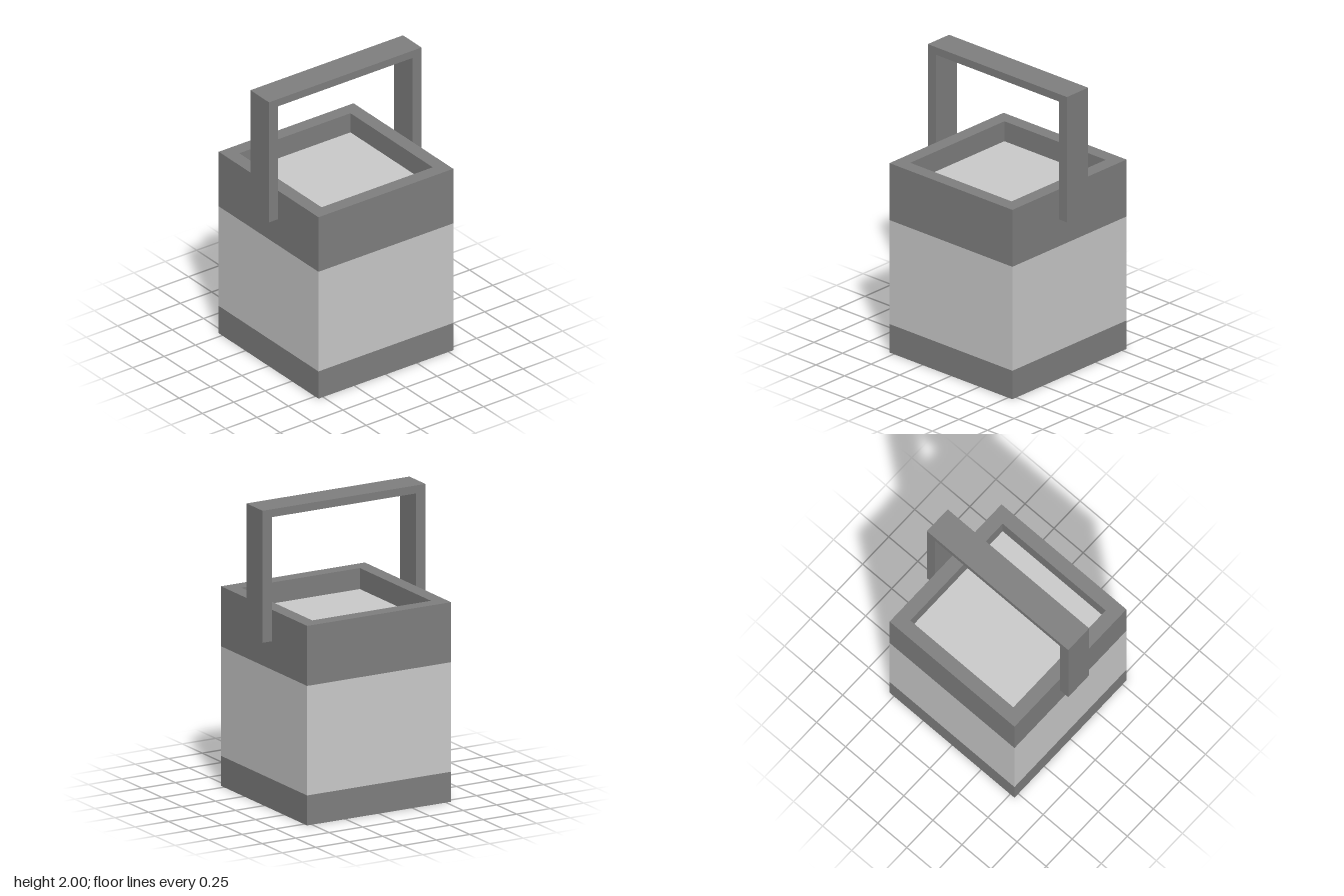
import * as THREE from 'three';

const dark = new THREE.MeshStandardMaterial({ color: 0x808080, flatShading: true });
const light = new THREE.MeshStandardMaterial({ color: 0xcccccc, flatShading: true });

// Square turned section: profile of [half width, height], running up the outside.
function squareSection(name, profile, material) {
  const points = profile.map(([half, y]) => new THREE.Vector2(half * Math.SQRT2, y));
  const geometry = new THREE.LatheGeometry(points, 4).rotateY(Math.PI / 4).toNonIndexed();
  geometry.computeVertexNormals();
  const mesh = new THREE.Mesh(geometry, material);
  mesh.name = name;
  return mesh;
}

export function createModel() {
  const model = new THREE.Group();
  model.name = 'bucket';

  const outer = 0.537, inner = 0.443;
  const baseTop = 0.2, rimBottom = 0.93, rimTop = 1.33, fillLevel = 1.19;

  // Flush bands of the body, and the recessed surface inside the rim
  model.add(
    squareSection('baseBand', [[0, 0], [outer, 0], [outer, baseTop]], dark),
    squareSection('body', [[outer, baseTop], [outer, rimBottom]], light),
    squareSection('rim', [[outer, rimBottom], [outer, rimTop], [inner, rimTop], [inner, fillLevel]], dark),
    squareSection('contents', [[inner, fillLevel], [0, fillLevel]], light),
  );

  // Flat strap handle, gripping the front and back of the rim
  const reach = 0.608, foot = 1.12, top = 2, underside = 1.947, width = 0.2;
  const strap = new THREE.Shape([
    [-reach, foot], [-outer, foot], [-outer, underside], [outer, underside],
    [outer, foot], [reach, foot], [reach, top], [-reach, top],
  ].map(([z, y]) => new THREE.Vector2(z, y)));
  const strapGeometry = new THREE.ExtrudeGeometry(strap, { depth: width, bevelEnabled: false });
  strapGeometry.translate(0, 0, -width / 2).rotateY(Math.PI / 2);
  const handle = new THREE.Mesh(strapGeometry, dark);
  handle.name = 'handle';
  model.add(handle);

  return model;
}
